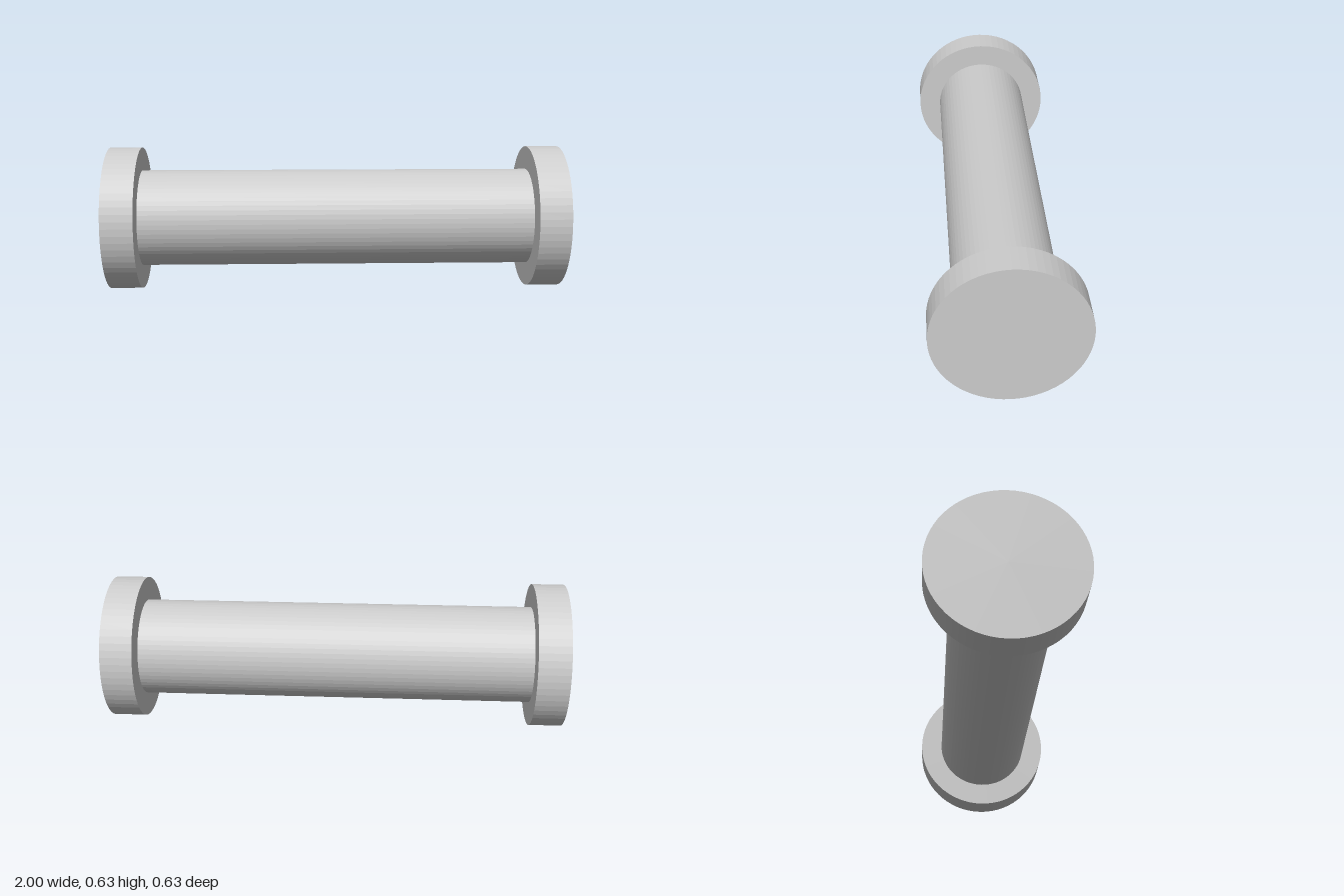
import * as THREE from 'three';

const SIDES = 64;
const FLANGE_RADIUS = 0.314;
const FLANGE_WIDTH = 0.14;
const SHAFT_RADIUS = 0.212;

export function createModel() {
  const group = new THREE.Group();
  group.name = 'spool';
  const material = new THREE.MeshStandardMaterial({ color: 0xcccccc, flatShading: true });

  // Cylinder lying along x, resting at the height of the common axis
  const addCylinder = (name, radius, length, x, open = false) => {
    const geometry = new THREE.CylinderGeometry(radius, radius, length, SIDES, 1, open);
    geometry.rotateZ(Math.PI / 2);
    const mesh = new THREE.Mesh(geometry, material);
    mesh.name = name;
    mesh.position.set(x, FLANGE_RADIUS, 0);
    group.add(mesh);
  };

  // Central shaft, its ends closed by the flanges
  addCylinder('shaft', SHAFT_RADIUS, 2 - 2 * FLANGE_WIDTH, 0, true);

  // Wide discs at both ends
  for (const side of [-1, 1]) {
    const name = side > 0 ? 'leftFlange' : 'rightFlange';
    addCylinder(name, FLANGE_RADIUS, FLANGE_WIDTH, side * (1 - FLANGE_WIDTH / 2));
  }

  return group;
}
